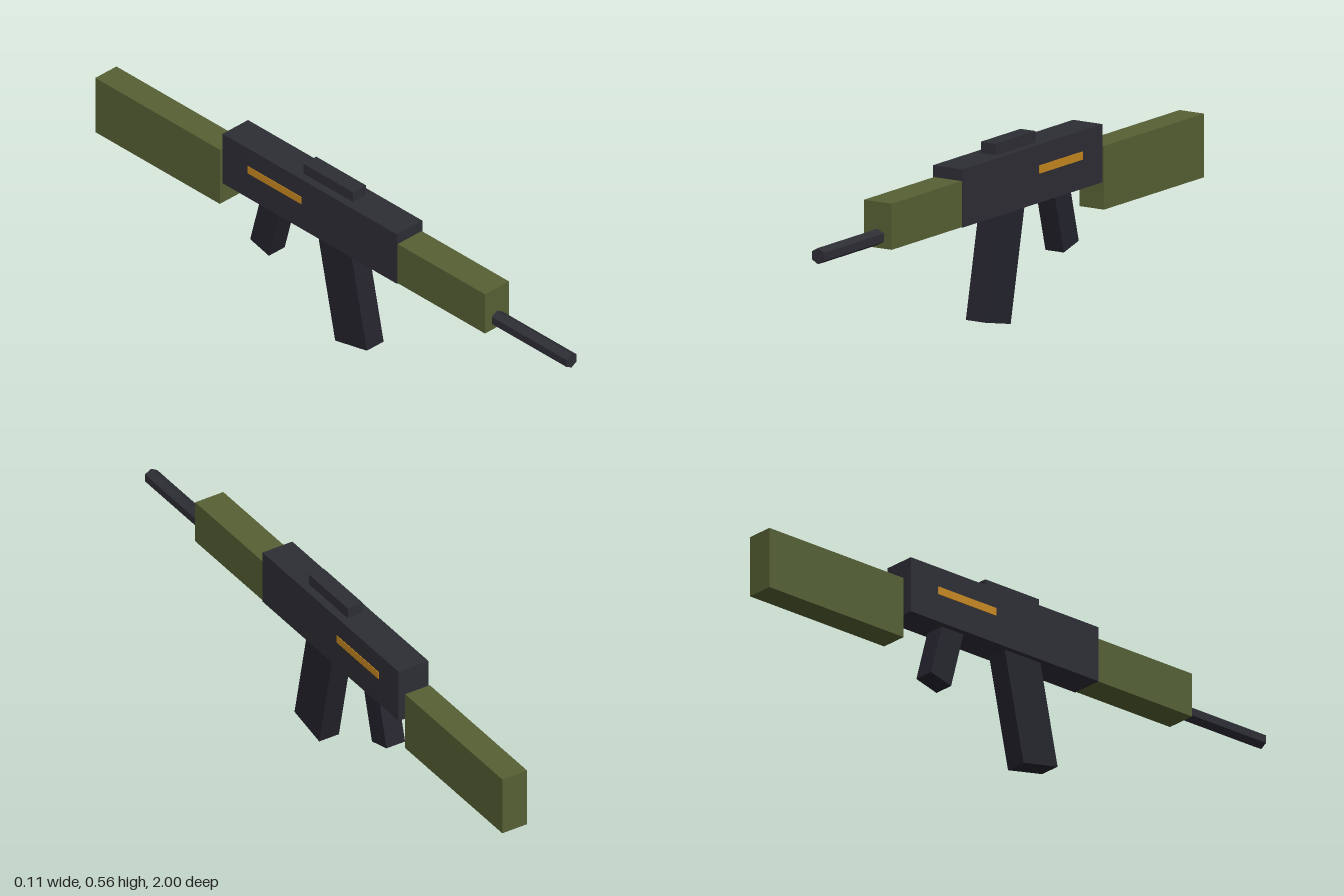
import * as THREE from 'three';

export function createModel() {
  const group = new THREE.Group();
  const material = (name, color) => {
    const m = new THREE.MeshStandardMaterial({ color, flatShading: true });
    m.name = name;
    return m;
  };
  const gunmetal = material('gunmetal', 0x2d2d35);
  const darkPolymer = material('dark polymer', 0x24232d);
  const olive = material('olive green', 0x566034);
  const amber = material('amber', 0xc8891f);

  const add = (name, geometry, mat, y, z, tilt = 0) => {
    const mesh = new THREE.Mesh(geometry, mat);
    mesh.name = name;
    mesh.position.set(0, y, z);
    mesh.rotation.x = tilt;
    group.add(mesh);
    return mesh;
  };

  // Box given by half width and its y and z ranges
  const block = (name, mat, halfX, y0, y1, z0, z1) =>
    add(name, new THREE.BoxGeometry(halfX * 2, y1 - y0, z1 - z0), mat, (y0 + y1) / 2, (z0 + z1) / 2);

  // Slanted box whose bottom centre is at (y, z), rising into the receiver
  const slanted = (name, mat, width, length, depth, y, z, tilt) =>
    add(name, new THREE.BoxGeometry(width, length, depth), mat,
      y + Math.cos(tilt) * length / 2, z + Math.sin(tilt) * length / 2, tilt);

  // Body
  block('receiver', gunmetal, 0.053, 0.35, 0.528, -0.444, 0.305);
  block('handguard', olive, 0.05, 0.351, 0.492, 0.3, 0.68);
  block('stock', olive, 0.044, 0.261, 0.456, -1, -0.465);
  block('topSight', gunmetal, 0.027, 0.525, 0.563, -0.124, 0.089);

  // Hexagonal barrel with corners pointing sideways
  const barrel = new THREE.CylinderGeometry(0.025, 0.025, 0.34, 6).rotateX(Math.PI / 2);
  add('barrel', barrel, gunmetal, 0.385, 0.83);

  // Magazine leans forward, grip leans back
  slanted('magazine', darkPolymer, 0.07, 0.37, 0.139, 0.0145, 0.089, -0.21);
  slanted('grip', darkPolymer, 0.066, 0.24, 0.083, 0.176, -0.306, 0.26);

  // Thin accent stripe on each side
  for (const side of [-1, 1]) {
    const stripe = add(side > 0 ? 'leftStripe' : 'rightStripe',
      new THREE.BoxGeometry(0.004, 0.025, 0.23), amber, 0.452, -0.22);
    stripe.position.x = side * 0.053;
  }
  return group;
}
